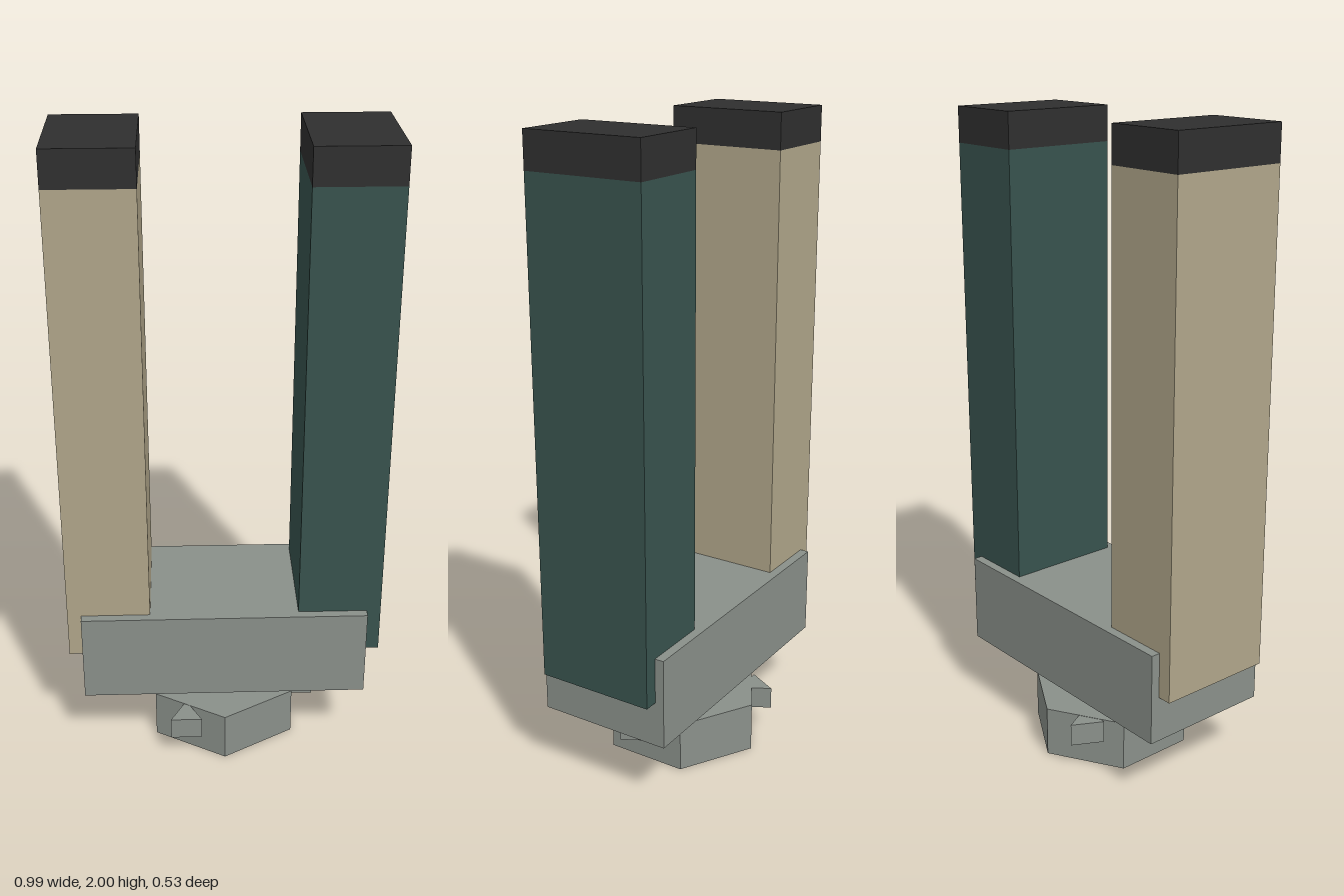
import * as THREE from 'three';

export function createModel() {
  const model = new THREE.Group();
  const flat = (name, color, side = THREE.FrontSide) => {
    const m = new THREE.MeshStandardMaterial({ color, side, flatShading: true });
    m.name = name;
    return m;
  };
  const grey = flat('grey', 0x8a908a, THREE.DoubleSide);
  const tan = flat('tan', 0xb0a68a);
  const green = flat('darkGreen', 0x38534e);
  const black = flat('black', 0x2f2f2f);

  const add = (name, geometry, material, x, y, z) => {
    const mesh = new THREE.Mesh(geometry, material);
    mesh.name = name;
    mesh.position.set(x, y, z);
    model.add(mesh);
    return mesh;
  };

  // block that holds both pillars
  add('baseBlock', new THREE.BoxGeometry(0.9, 0.29, 0.434), grey, 0, 0.375, 0);

  // pillars with dark caps
  for (const [side, s, material] of [['left', 1, green], ['right', -1, tan]]) {
    add(side + 'Pillar', new THREE.BoxGeometry(0.26, 1.515, 0.376), material, s * 0.364, 1.1325, 0);
    add(side + 'PillarCap', new THREE.BoxGeometry(0.26, 0.11, 0.376), black, s * 0.364, 1.945, 0);
  }

  // hollow six-sided cup, open underneath
  const R = 0.26, H = 0.162;
  add('hexWall', new THREE.CylinderGeometry(R, R, H, 6, 1, true), grey, 0, H / 2, 0);
  const top = add('hexTop', new THREE.CircleGeometry(R, 6, Math.PI / 2), grey, 0, H, 0);
  top.rotation.x = -Math.PI / 2;

  // three triangular lugs around the cup, all pointing backwards
  const triangle = new THREE.Shape([
    new THREE.Vector2(-0.05, -0.048),
    new THREE.Vector2(0.05, -0.048),
    new THREE.Vector2(0, 0.046),
  ]);
  const lug = new THREE.ExtrudeGeometry(triangle, { depth: 0.072, bevelEnabled: false });
  lug.rotateX(-Math.PI / 2);
  for (let i = 0; i < 3; i++) {
    const a = (i * Math.PI * 2) / 3;
    add('lug' + (i + 1), lug, grey, 0.25 * Math.cos(a), 0.089, 0.25 * Math.sin(a));
  }

  return model;
}
